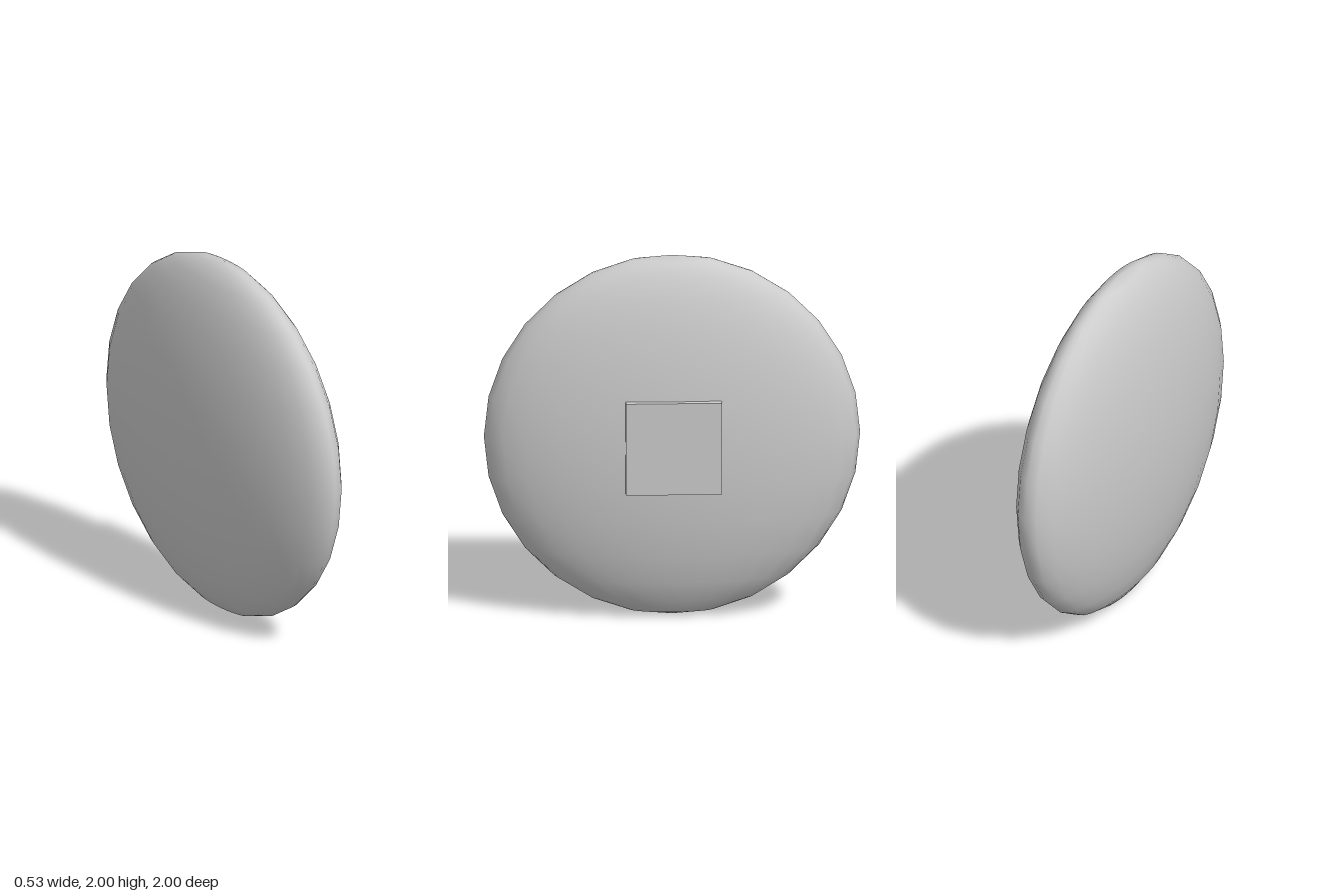
import * as THREE from 'three';

export function createModel() {
  const group = new THREE.Group();
  const grey = new THREE.MeshStandardMaterial({ color: 0xcccccc });

  // Flattened round body, thin along x
  const bodyGeometry = new THREE.SphereGeometry(1, 28, 14);
  bodyGeometry.scale(0.252, 1, 1);
  const body = new THREE.Mesh(bodyGeometry, grey);
  body.name = 'discBody';
  body.position.set(-0.012, 1, 0);
  group.add(body);

  // Square plate set into the left face
  const plate = new THREE.Mesh(new THREE.BoxGeometry(0.06, 0.51, 0.51), grey);
  plate.name = 'squarePlate';
  plate.position.set(0.232, 1.002, 0);
  group.add(plate);

  return group;
}
